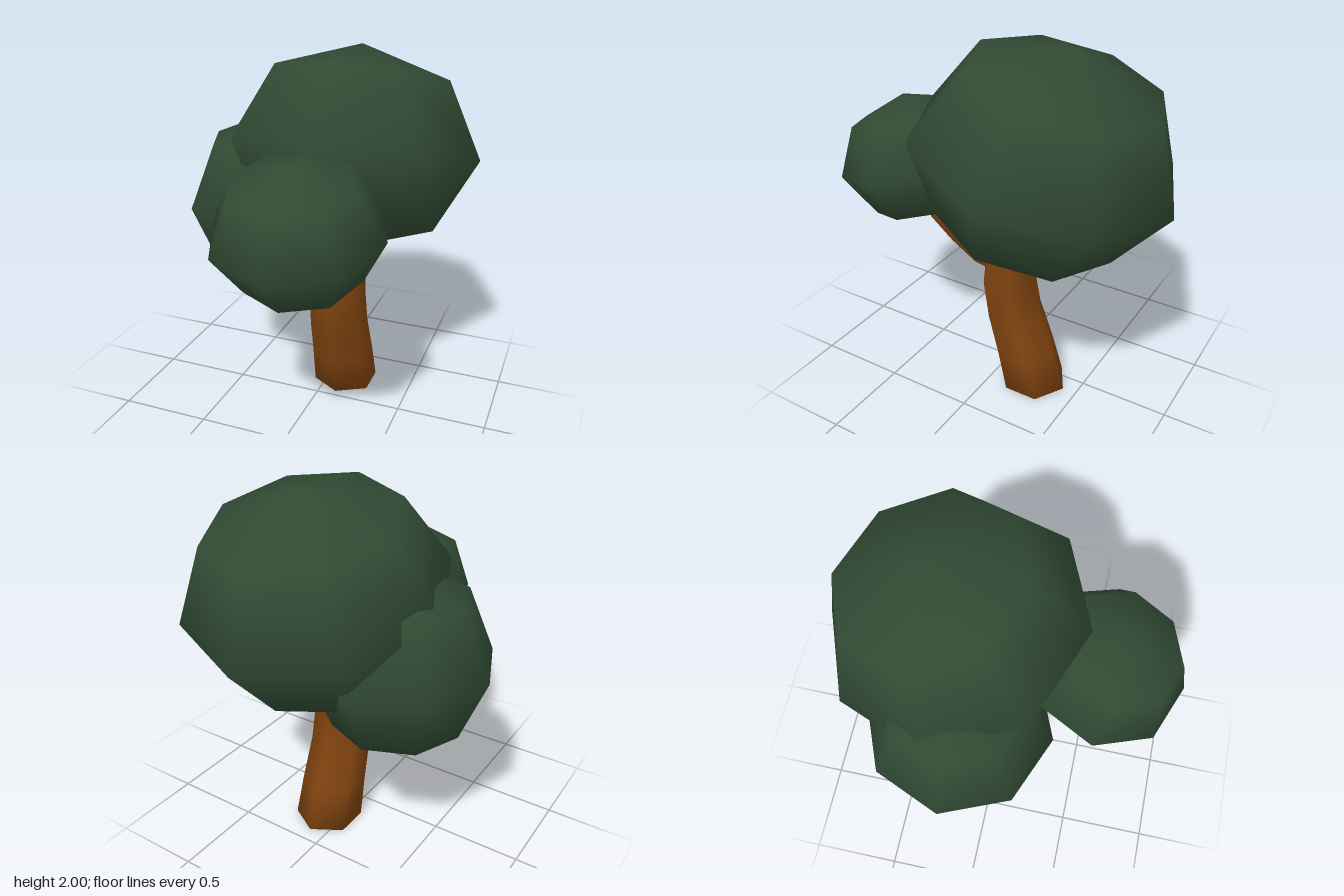
import * as THREE from 'three';

const SIDES = 6;

// Capped six-sided tube through rings of [z, y, radius, tilt of ring axis from y towards z in degrees]
function limb(name, x, rings, material) {
  const pos = [], index = [];
  for (const [z, y, r, deg] of rings) {
    const t = THREE.MathUtils.degToRad(deg);
    for (let i = 0; i < SIDES; i++) {
      const a = Math.PI / 2 + (i / SIDES) * Math.PI * 2;
      const u = r * Math.cos(a), v = r * Math.sin(a);
      pos.push(x + u, y - v * Math.sin(t), z + v * Math.cos(t));
    }
  }
  const last = (rings.length - 1) * SIDES;
  const bottom = rings.length * SIDES, top = bottom + 1;
  for (const [z, y] of [rings[0], rings[rings.length - 1]]) pos.push(x, y, z);
  for (let i = 0; i < SIDES; i++) {
    const n = (i + 1) % SIDES;
    for (let k = 0; k < last; k += SIDES) {
      const p = k + i, q = k + n;
      index.push(p, p + SIDES, q, q, p + SIDES, q + SIDES);
    }
    index.push(bottom, i, n, top, last + n, last + i);
  }
  const geo = new THREE.BufferGeometry();
  geo.setAttribute('position', new THREE.Float32BufferAttribute(pos, 3));
  geo.setIndex(index);
  geo.computeVertexNormals();
  const mesh = new THREE.Mesh(geo, material);
  mesh.name = name;
  return mesh;
}

// Coarse, smooth-shaded ellipsoid of leaves, tilted about x
function foliage(name, center, radius, height, tiltDeg, material) {
  const geo = new THREE.SphereGeometry(1, 8, 4);
  geo.scale(radius, height, radius);
  const mesh = new THREE.Mesh(geo, material);
  mesh.name = name;
  mesh.position.set(...center);
  mesh.rotation.x = THREE.MathUtils.degToRad(tiltDeg);
  return mesh;
}

export function createModel() {
  const bark = new THREE.MeshStandardMaterial({ color: 0x80430f });
  bark.name = 'bark brown';
  const leaves = new THREE.MeshStandardMaterial({ color: 0x304a33 });
  leaves.name = 'leaf green';

  const tree = new THREE.Group();
  tree.name = 'tree';

  // Curved trunk and the forward branch
  tree.add(limb('trunk', 0.1, [
    [-0.23, 0, 0.19, 0],
    [-0.17, 0.22, 0.18, 0],
    [-0.095, 0.45, 0.168, 0],
    [-0.058, 0.66, 0.162, 0],
    [-0.1, 0.98, 0.14, 0],
    [-0.14, 1.2, 0.125, 0],
  ], bark));
  tree.add(limb('branch', 0.1, [
    [0.0, 0.765, 0.095, 85],
    [0.1, 0.78, 0.095, 72],
    [0.25, 0.86, 0.087, 57],
    [0.38, 0.96, 0.085, 45],
    [0.48, 1.1, 0.08, 32],
  ], bark));

  // Three leaf clusters
  tree.add(foliage('mainCanopy', [0.1, 1.45, -0.275], 0.71, 0.57, -15, leaves));
  tree.add(foliage('frontCanopy', [0.1, 1.255, 0.525], 0.447, 0.358, 15, leaves));
  tree.add(foliage('rightCanopy', [-0.325, 1.14, -0.17], 0.5, 0.505, 0, leaves));
  return tree;
}
